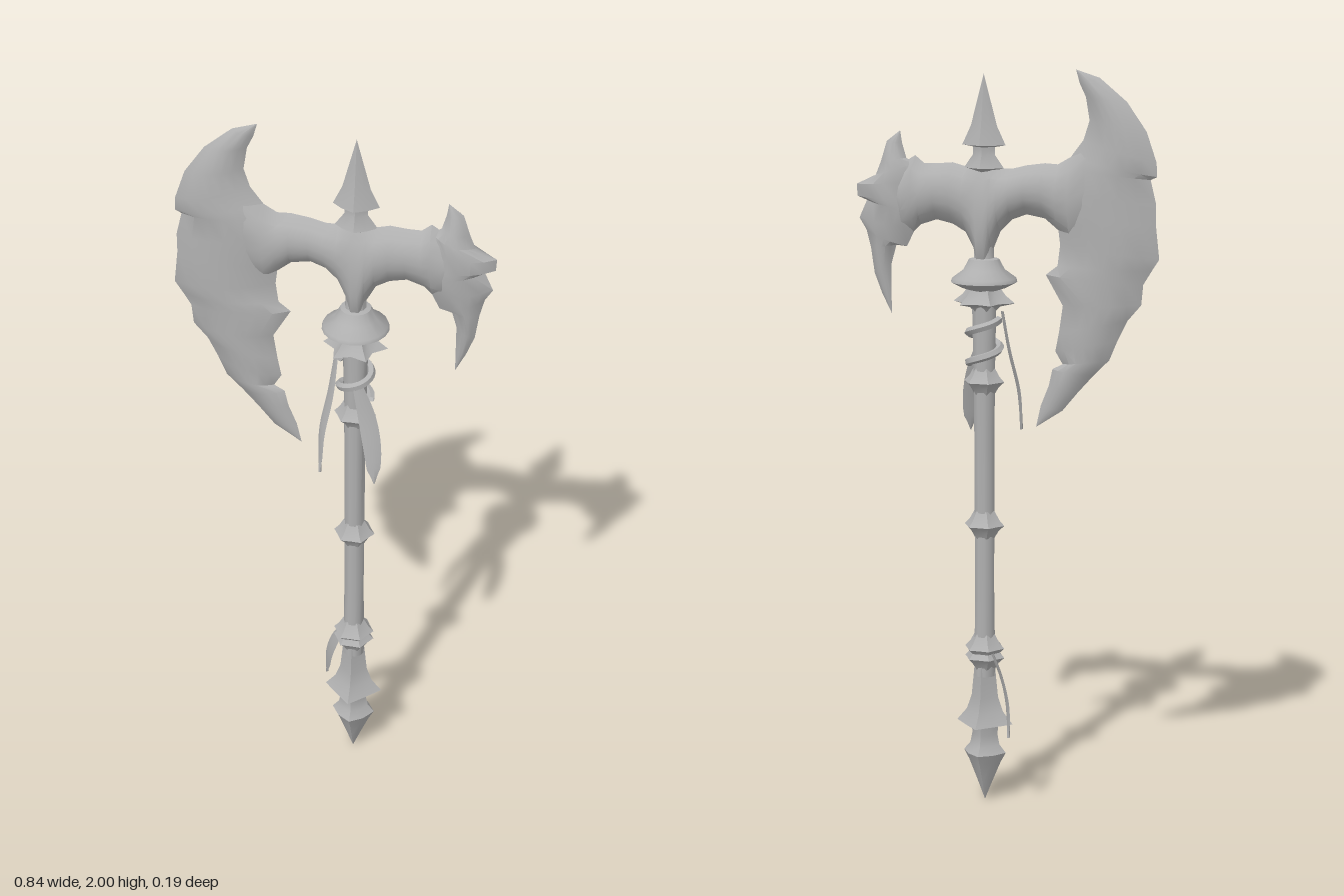
import * as THREE from 'three';
import { toCreasedNormals } from 'three/addons/utils/BufferGeometryUtils.js';

const CX = 0.058, CZ = -0.008; // axis of the shaft

const steel = new THREE.MeshStandardMaterial({ color: 0xb0b0b0, side: THREE.DoubleSide });
steel.name = 'grey steel';

function add(parent, name, geometry, crease = 0.6) {
  const mesh = new THREE.Mesh(toCreasedNormals(geometry, crease), steel);
  mesh.name = name;
  parent.add(mesh);
  return mesh;
}

// Skins a list of closed rings of equal length
function skin(rings) {
  const n = rings[0].length, index = [];
  for (let s = 0; s < rings.length - 1; s++) {
    for (let j = 0; j < n; j++) {
      const k = (j + 1) % n, a = s * n, b = a + n;
      index.push(a + j, b + j, b + k, a + j, b + k, a + k);
    }
  }
  const g = new THREE.BufferGeometry();
  g.setAttribute('position', new THREE.Float32BufferAttribute(rings.flat(2), 3));
  g.setIndex(index);
  g.computeVertexNormals();
  return g;
}

// Lens section between two edge points; stations are [ax, ay, bx, by, halfThickness]
function lens(stations, power, steps = 6) {
  return skin(stations.map(([ax, ay, bx, by, t]) => {
    const ring = [];
    for (let j = 0; j < steps * 2; j++) {
      const front = j <= steps;
      const u = front ? j / steps : 2 - j / steps;
      const z = t * Math.pow(Math.max(0, Math.sin(Math.PI * u)), power);
      ring.push([ax + (bx - ax) * u, ay + (by - ay) * u, CZ + (front ? z : -z)]);
    }
    return ring;
  }));
}

// Lathe about the shaft; dip pulls every other side inward to leave pointed corners
function turned(parent, name, profile, sides, dip = 1, depth = 1) {
  const rings = profile.map(([r, y]) => Array.from({ length: sides }, (_, j) => {
    const a = (-j / sides) * Math.PI * 2;
    const q = r * (j % 2 ? dip : 1);
    return [CX + Math.cos(a) * q, y, CZ + Math.sin(a) * q * depth];
  }));
  return add(parent, name, skin(rings), 0.75);
}

// Flat cloth strip along a curve; w is the half-width direction, widths taper by rule
function ribbon(parent, name, points, w, widthAt) {
  const curve = new THREE.CatmullRomCurve3(points.map((p) => new THREE.Vector3(...p)));
  const rings = [], n = 14, thin = 0.004;
  for (let i = 0; i <= n; i++) {
    const p = curve.getPoint(i / n), k = widthAt(i / n);
    const across = new THREE.Vector3(...w).multiplyScalar(k);
    const out = new THREE.Vector3(...w).cross(curve.getTangent(i / n)).setLength(thin);
    rings.push([
      p.clone().add(across), p.clone().add(out), p.clone().sub(across), p.clone().sub(out),
    ].map((v) => v.toArray()));
  }
  return add(parent, name, skin(rings), 0.9);
}

export function createModel() {
  const model = new THREE.Group();
  model.name = 'battleAxe';

  // Large notched crescent: outer edge, inner edge, half thickness
  add(model, 'largeBlade', lens([
    [-0.193, 2.0, -0.193, 2.0, 0],
    [-0.257, 1.98, -0.203, 1.965, 0.012],
    [-0.33, 1.92, -0.22, 1.93, 0.022],
    [-0.383, 1.845, -0.23, 1.87, 0.03],
    [-0.41, 1.767, -0.214, 1.82, 0.035],
    [-0.412, 1.73, -0.18, 1.775, 0.037],
    [-0.395, 1.722, -0.16, 1.75, 0.038],
    [-0.41, 1.66, -0.135, 1.68, 0.038],
    [-0.41, 1.607, -0.145, 1.6, 0.037],
    [-0.42, 1.517, -0.152, 1.545, 0.036],
    [-0.4, 1.486, -0.145, 1.49, 0.035],
    [-0.378, 1.45, -0.113, 1.465, 0.035],
    [-0.373, 1.396, -0.16, 1.385, 0.033],
    [-0.336, 1.353, -0.15, 1.316, 0.03],
    [-0.31, 1.3, -0.14, 1.263, 0.028],
    [-0.288, 1.247, -0.16, 1.23, 0.024],
    [-0.246, 1.205, -0.132, 1.215, 0.022],
    [-0.203, 1.157, -0.122, 1.17, 0.016],
    [-0.16, 1.105, -0.1, 1.115, 0.01],
    [-0.087, 1.057, -0.087, 1.057, 0],
  ], 0.8));

  // Small broken blade with horn and hooked tip: inner edge, outer edge
  add(model, 'smallBlade', lens([
    [0.292, 1.832, 0.292, 1.832, 0],
    [0.287, 1.8, 0.33, 1.803, 0.015],
    [0.275, 1.76, 0.347, 1.75, 0.028],
    [0.25, 1.745, 0.362, 1.713, 0.036],
    [0.235, 1.7, 0.417, 1.687, 0.04],
    [0.235, 1.65, 0.415, 1.655, 0.04],
    [0.235, 1.62, 0.388, 1.645, 0.038],
    [0.25, 1.575, 0.41, 1.597, 0.034],
    [0.275, 1.525, 0.39, 1.565, 0.028],
    [0.305, 1.528, 0.378, 1.518, 0.024],
    [0.32, 1.475, 0.368, 1.45, 0.016],
    [0.32, 1.41, 0.347, 1.396, 0.009],
    [0.32, 1.343, 0.32, 1.343, 0],
  ], 0.8));

  // Arched bridge joining both blades and narrowing into the neck: lower edge, upper edge
  add(model, 'bridge', lens([
    [-0.3, 1.68, -0.3, 1.71, 0.02],
    [-0.23, 1.57, -0.23, 1.82, 0.033],
    [-0.18, 1.555, -0.18, 1.775, 0.037],
    [-0.145, 1.585, -0.145, 1.755, 0.039],
    [-0.11, 1.613, -0.11, 1.757, 0.04],
    [-0.06, 1.622, -0.06, 1.75, 0.041],
    [-0.02, 1.607, -0.02, 1.74, 0.042],
    [0.012, 1.575, 0.012, 1.74, 0.043],
    [0.035, 1.52, 0.03, 1.755, 0.044],
    [0.05, 1.45, 0.05, 1.76, 0.045],
    [0.07, 1.45, 0.07, 1.76, 0.045],
    [0.083, 1.52, 0.09, 1.755, 0.044],
    [0.11, 1.57, 0.11, 1.743, 0.043],
    [0.145, 1.59, 0.145, 1.752, 0.042],
    [0.19, 1.6, 0.19, 1.748, 0.042],
    [0.235, 1.585, 0.225, 1.748, 0.041],
    [0.255, 1.565, 0.25, 1.768, 0.04],
    [0.285, 1.56, 0.275, 1.752, 0.037],
    [0.34, 1.64, 0.34, 1.69, 0.02],
  ], 0.6));

  // Crown spike above the bridge
  turned(model, 'crownSpike', [
    [0, 1.72], [0.055, 1.74], [0.03, 1.775], [0.03, 1.795], [0.06, 1.8],
    [0.036, 1.85], [0.02, 1.91], [0, 1.985],
  ], 8, 0.8, 0.65);

  // Neck and flared guard
  turned(model, 'neck', [[0.045, 1.46], [0.028, 1.5], [0.026, 1.56], [0.04, 1.64]], 10);
  turned(model, 'guardDisc', [
    [0.03, 1.415], [0.06, 1.425], [0.088, 1.44], [0.085, 1.45], [0.055, 1.472], [0.04, 1.5], [0, 1.51],
  ], 20);
  turned(model, 'guardSpikes', [
    [0.03, 1.36], [0.045, 1.375], [0.086, 1.385], [0.06, 1.405], [0.045, 1.425],
  ], 12, 0.68);

  // Shaft with its ringed knots
  turned(model, 'shaft', [[0.03, 0.36], [0.027, 0.6], [0.028, 1.0], [0.03, 1.2], [0.034, 1.4]], 10);
  for (const y of [0.412, 0.438, 0.78, 1.172]) {
    turned(model, 'shaftRing', [
      [0.028, y - 0.035], [0.04, y - 0.015], [0.056, y], [0.042, y + 0.015], [0.028, y + 0.04],
    ], 12, 0.85);
  }

  // Pommel: pointed bulb under a spiked skirt
  turned(model, 'pommel', [
    [0, 0.005], [0.022, 0.06], [0.045, 0.115], [0.06, 0.143], [0.042, 0.165], [0.036, 0.195], [0.04, 0.23],
  ], 8, 0.85);
  turned(model, 'pommelSkirt', [
    [0.034, 0.225], [0.08, 0.226], [0.052, 0.26], [0.038, 0.3], [0.032, 0.36], [0.028, 0.4],
  ], 8, 0.72);

  // Cloth wound round the upper shaft
  const winding = [];
  for (let i = 0; i <= 16; i++) {
    const a = (i / 16) * Math.PI * 3 + Math.PI;
    winding.push([CX + Math.cos(a) * 0.042, 1.34 - i * 0.0075, CZ + Math.sin(a) * 0.042]);
  }
  const wrap = new THREE.CatmullRomCurve3(winding.map((p) => new THREE.Vector3(...p)));
  add(model, 'clothWrap', new THREE.TubeGeometry(wrap, 40, 0.011, 5), 0.9);

  // Hanging cloth tails
  const taper = (u) => (0.5 + 0.9 * Math.sin(Math.PI * Math.min(1, u * 0.8 + 0.1))) * (u > 0.85 ? (1.02 - u) / 0.17 : 1);
  ribbon(model, 'rightTail', [[0.01, 1.36, 0.0], [0.0, 1.25, 0.03], [-0.018, 1.14, 0.055], [-0.018, 1.03, 0.08]],
    [0.008, 0, 0.012], taper);
  ribbon(model, 'leftTail', [[0.075, 1.28, 0.035], [0.1, 1.2, 0.045], [0.12, 1.11, 0.065], [0.13, 1.02, 0.088]],
    [0.016, 0, -0.008], taper);
  ribbon(model, 'pommelTail', [[0.03, 0.43, -0.03], [0.0, 0.37, -0.042], [-0.022, 0.3, -0.055], [-0.033, 0.21, -0.075]],
    [0.009, 0, 0.014], taper);

  return model;
}
